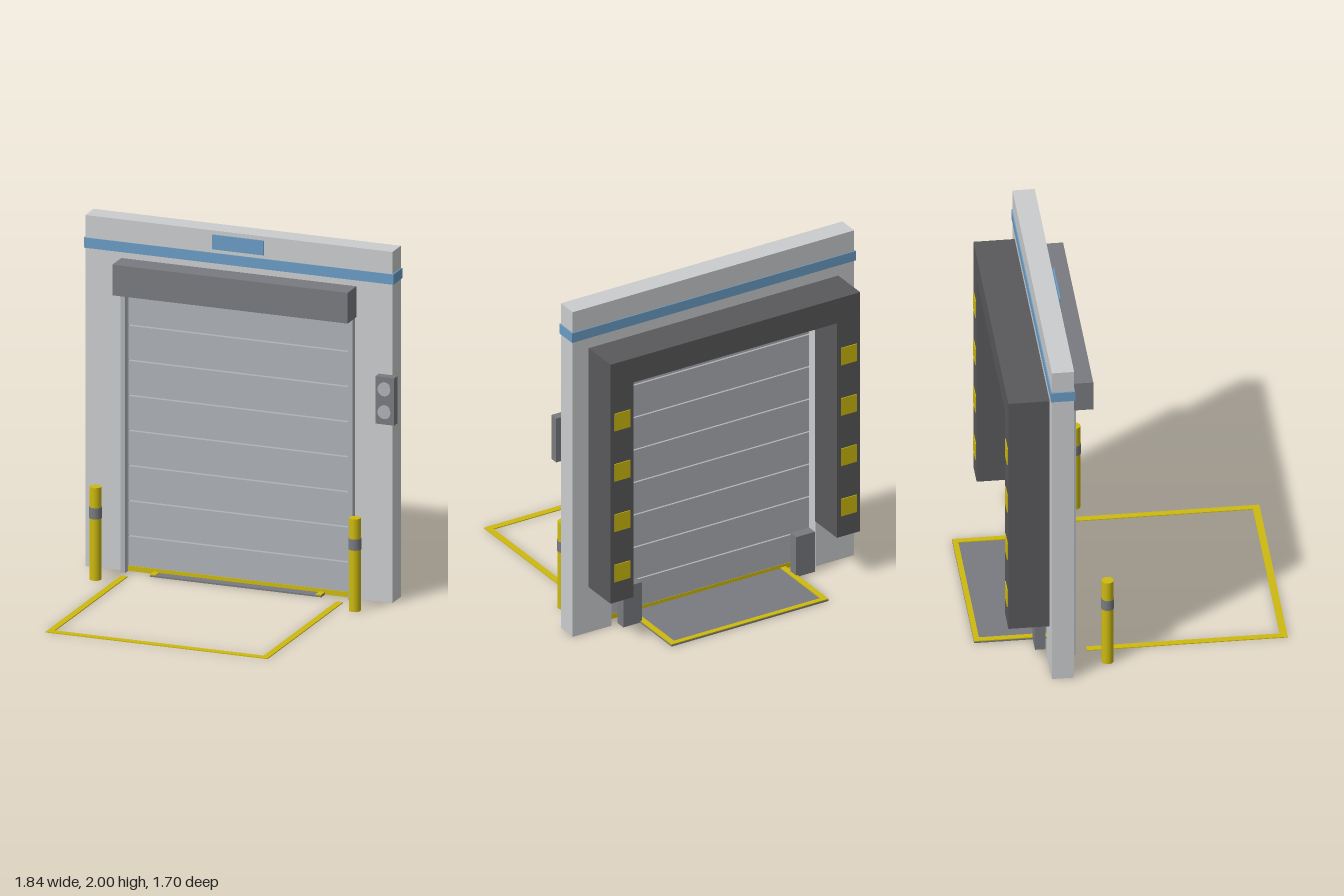
import * as THREE from 'three';

const mat = (name, color) => {
  const m = new THREE.MeshStandardMaterial({ color });
  m.name = name;
  return m;
};

export function createModel() {
  const wall = mat('light grey wall', 0xcacccd);
  const panel = mat('door grey', 0xaeb1b6);
  const steel = mat('steel grey', 0x797b80);
  const rubber = mat('dark rubber', 0x59595b);
  const yellow = mat('safety yellow', 0xcdba10);
  const blue = mat('blue', 0x6a9cc5);

  const model = new THREE.Group();
  model.name = 'loadingDock';
  // everything but the signal box is symmetric about this axis
  const dock = new THREE.Group();
  dock.name = 'dock';
  dock.position.x = -0.015;
  model.add(dock);

  // box given by its limits on each axis
  const box = (name, m, x0, x1, y0, y1, z0, z1) => {
    const mesh = new THREE.Mesh(new THREE.BoxGeometry(x1 - x0, y1 - y0, z1 - z0), m);
    mesh.position.set((x0 + x1) / 2, (y0 + y1) / 2, (z0 + z1) / 2);
    mesh.name = name;
    dock.add(mesh);
    return mesh;
  };
  // the same box on the left (+x) and right (-x)
  const pair = (name, m, x0, x1, ...rest) => {
    box(name + 'Left', m, x0, x1, ...rest);
    box(name + 'Right', m, -x1, -x0, ...rest);
  };
  const cylinder = (name, m, r, h, x, y, z) => {
    const mesh = new THREE.Mesh(new THREE.CylinderGeometry(r, r, h, 20), m);
    mesh.position.set(x, y, z);
    mesh.name = name;
    dock.add(mesh);
    return mesh;
  };

  // wall around the opening
  pair('wallPillar', wall, 0.652, 0.9, 0, 2, -0.472, -0.35);
  box('wallHeader', wall, -0.652, 0.652, 1.6, 2, -0.472, -0.35);
  box('wallBand', blue, -0.907, 0.907, 1.815, 1.873, -0.477, -0.345);
  box('signPlate', blue, -0.151, 0.151, 1.897, 1.98, -0.342, -0.334);

  // sectional door with narrow gaps between its panels
  for (let i = 0; i < 8; i++) {
    const bottom = i === 0 ? 0.03 : i * 0.2 + 0.004;
    box('doorPanel' + (i + 1), panel, -0.652, 0.652, bottom, i * 0.2 + 0.196, -0.405, -0.36);
  }
  box('doorBottomSeal', yellow, -0.652, 0.652, 0, 0.03, -0.407, -0.356);
  pair('doorTrack', panel, 0.652, 0.68, 0, 1.61, -0.35, -0.315);
  box('doorHood', steel, -0.689, 0.689, 1.605, 1.78, -0.35, -0.22);

  // dock shelter on the back, with warning patches
  pair('shelterSide', rubber, 0.65, 0.798, 0.278, 1.6, -0.698, -0.472);
  box('shelterTop', rubber, -0.798, 0.798, 1.6, 1.75, -0.698, -0.472);
  for (let i = 0; i < 4; i++) {
    const y = 0.458 + i * 0.31;
    pair('warningPatch' + (i + 1), yellow, 0.674, 0.774, y - 0.053, y + 0.053, -0.703, -0.697);
  }
  pair('bumper', steel, 0.493, 0.612, 0.004, 0.25, -0.53, -0.472);

  // leveller plate with yellow edging
  box('levellerPlate', steel, -0.502, 0.502, 0, 0.009, -0.85, -0.3);
  pair('levellerEdge', yellow, 0.468, 0.502, 0.009, 0.014, -0.82, -0.3);
  box('levellerBackEdge', yellow, -0.502, 0.502, 0.009, 0.014, -0.85, -0.82);

  // floor marking
  pair('floorLine', yellow, 0.612, 0.65, 0, 0.005, -0.25, 0.81);
  box('floorLineFront', yellow, -0.65, 0.65, 0, 0.005, 0.81, 0.85);

  // bollards
  for (const [side, s] of [['Left', 1], ['Right', -1]]) {
    cylinder('bollard' + side, yellow, 0.033, 0.528, s * 0.76, 0.264, -0.15);
    cylinder('bollardBand' + side, steel, 0.036, 0.063, s * 0.76, 0.382, -0.15);
  }

  // signal box with two lamps
  box('signalBox', steel, 0.82, 0.93, 1.028, 1.298, -0.35, -0.3);
  for (const y of [1.1, 1.23]) {
    cylinder('signalLamp', panel, 0.038, 0.012, 0.874, y, -0.296).rotation.x = Math.PI / 2;
  }

  return model;
}
